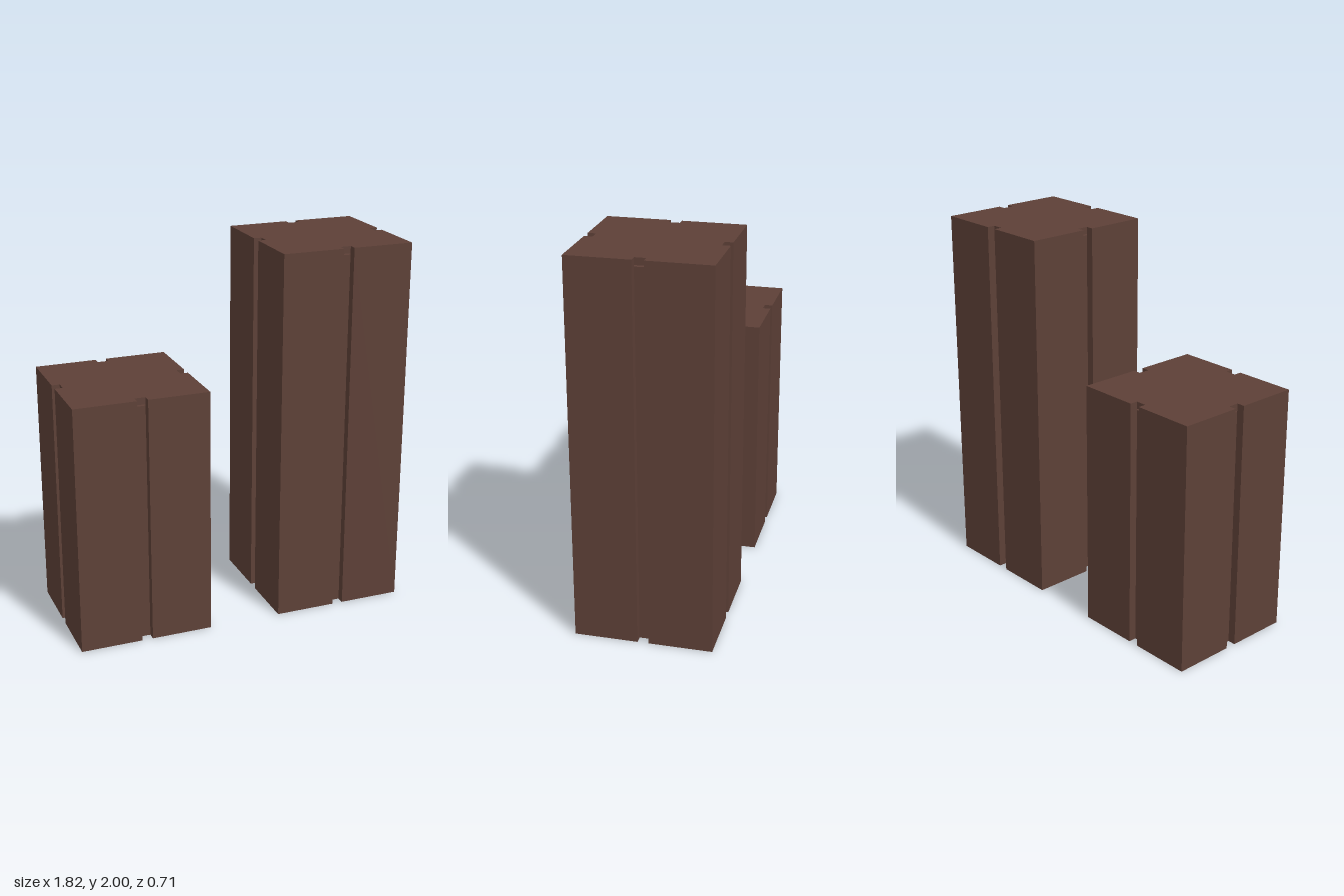
import * as THREE from 'three';

const OUTER = 0.357;   // half width over the cladding
const CORE = 0.315;    // half width of the core
const SLOT = 0.029;    // half width of the groove between claddings
const LID = 0.037;     // lid thickness
const GAP = 0.007;     // shadow gap under the lid

// L-shaped plan of one corner cladding
function cornerShape() {
  return new THREE.Shape([
    [SLOT, CORE], [CORE, CORE], [CORE, SLOT],
    [OUTER, SLOT], [OUTER, OUTER], [SLOT, OUTER],
  ].map(([x, y]) => new THREE.Vector2(x, y)));
}

function addMesh(parent, name, geometry, material, y = 0) {
  const mesh = new THREE.Mesh(geometry, material);
  mesh.name = name;
  mesh.position.y = y;
  parent.add(mesh);
  return mesh;
}

function createPillar(name, height, material) {
  const pillar = new THREE.Group();
  pillar.name = name;

  // Core block, with a thin gap below the flush lid
  const coreHeight = height - LID - GAP;
  addMesh(pillar, 'core', new THREE.BoxGeometry(2 * CORE, coreHeight, 2 * CORE), material, coreHeight / 2);
  addMesh(pillar, 'lid', new THREE.BoxGeometry(2 * CORE, LID, 2 * CORE), material, height - LID / 2);

  // Four corner claddings, leaving a groove in the middle of each side
  const corner = new THREE.ExtrudeGeometry(cornerShape(), { depth: height, bevelEnabled: false });
  corner.rotateX(-Math.PI / 2);
  for (let i = 0; i < 4; i++) {
    addMesh(pillar, 'cornerCladding' + (i + 1), corner, material).rotation.y = i * Math.PI / 2;
  }
  return pillar;
}

export function createModel() {
  const model = new THREE.Group();
  model.name = 'pillarPair';
  const darkWood = new THREE.MeshStandardMaterial({ color: 0x5d4037 });
  darkWood.name = 'dark brown';

  const tall = createPillar('tallPillar', 2, darkWood);
  tall.position.x = 0.553;
  const short = createPillar('shortPillar', 1.333, darkWood);
  short.position.x = -0.553;
  model.add(tall, short);
  return model;
}
